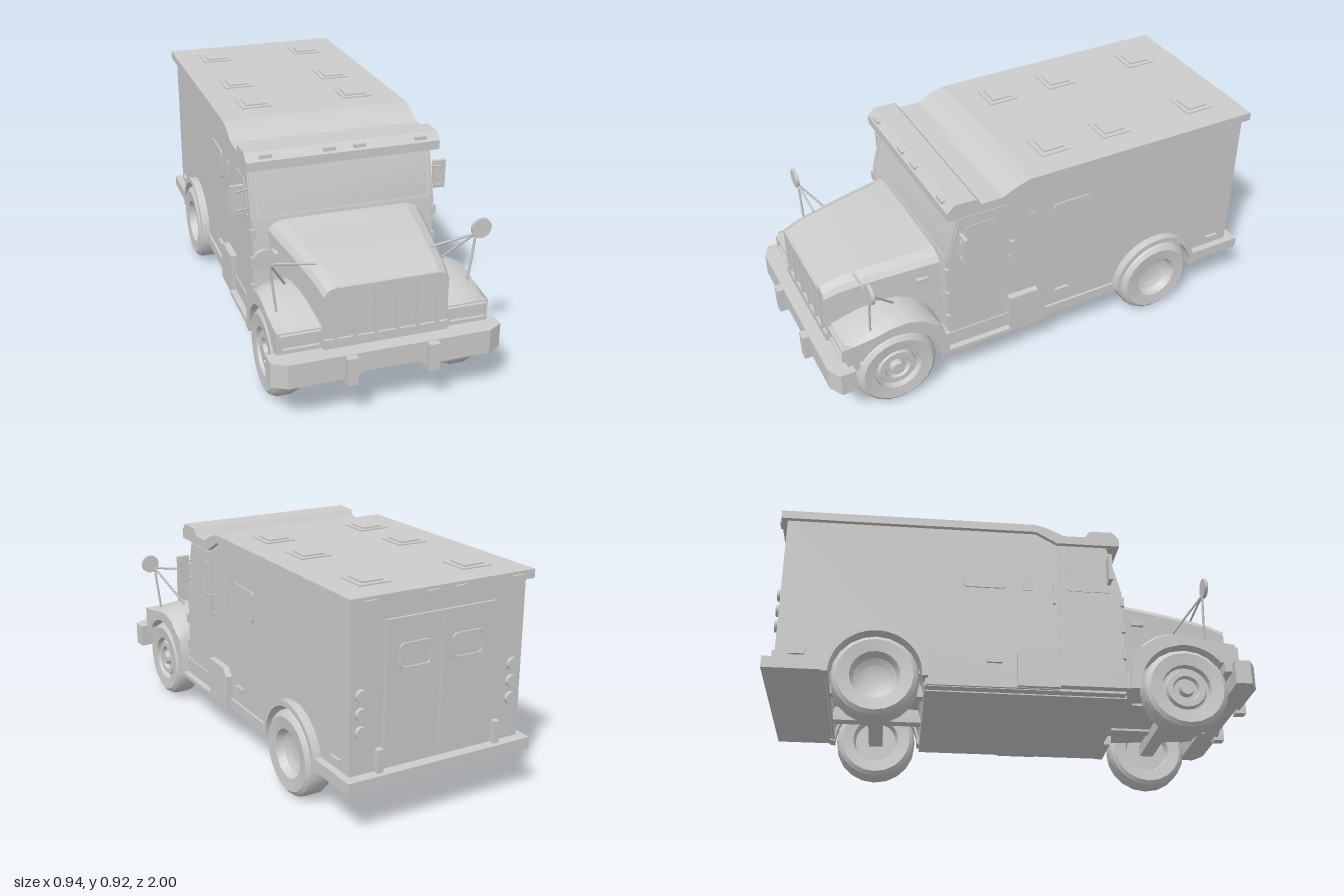
import * as THREE from 'three';
import { toCreasedNormals } from 'three/addons/utils/BufferGeometryUtils.js';

const mat = new THREE.MeshStandardMaterial({ color: 0xcccccc });
const SIDES = [1, -1];

export function createModel() {
  const root = new THREE.Group();

  const add = (name, geo, x = 0, y = 0, z = 0) => {
    const m = new THREE.Mesh(geo, mat);
    m.name = name;
    m.position.set(x, y, z);
    root.add(m);
    return m;
  };
  // box given by its limits on each axis
  const box = (name, x0, x1, y0, y1, z0, z1) =>
    add(name, new THREE.BoxGeometry(Math.abs(x1 - x0), y1 - y0, z1 - z0), (x0 + x1) / 2, (y0 + y1) / 2, (z0 + z1) / 2);
  const poly = (pts) => new THREE.Shape(pts.map((p) => new THREE.Vector2(p[0], p[1])));
  // side outline in (z, y) extruded across x
  const across = (shape, xa, xb, steps = 1) => {
    const g = new THREE.ExtrudeGeometry(shape, { depth: Math.abs(xb - xa), bevelEnabled: false, steps, curveSegments: 16 });
    return g.rotateY(-Math.PI / 2).translate(Math.max(xa, xb), 0, 0);
  };
  const crease = (g, a = 0.5) => toCreasedNormals(g, a);
  const rounded = (x, y, w, h, r) => {
    const s = new THREE.Shape(), a = x - w / 2, b = x + w / 2, c = y - h / 2, d = y + h / 2;
    s.absarc(b - r, d - r, r, 0, Math.PI / 2);
    s.absarc(a + r, d - r, r, Math.PI / 2, Math.PI);
    s.absarc(a + r, c + r, r, Math.PI, Math.PI * 1.5);
    s.absarc(b - r, c + r, r, Math.PI * 1.5, Math.PI * 2);
    return s;
  };
  const framed = (x, y, w, h, r, t) => {
    const s = rounded(x, y, w, h, r);
    s.holes.push(rounded(x, y, w - 2 * t, h - 2 * t, r * 0.8));
    return s;
  };
  const rod = (name, a, b, r = 0.005) => {
    const p = new THREE.Vector3(...a), q = new THREE.Vector3(...b);
    const m = add(name, new THREE.CylinderGeometry(r, r, p.distanceTo(q), 6));
    m.position.copy(p).lerp(q, 0.5);
    m.quaternion.setFromUnitVectors(new THREE.Vector3(0, 1, 0), q.sub(p).normalize());
  };

  // armoured body with rear wheel arch
  const body = poly([[-0.955, 0.19], [-0.955, 0.88], [0.07, 0.88], [0.17, 0.83], [0.38, 0.83], [0.44, 0.605], [0.44, 0.15], [-0.365, 0.15]]);
  body.absarc(-0.56, 0.175, 0.195, 0, Math.PI, false);
  body.lineTo(-0.755, 0.19);
  add('body', crease(across(body, -0.38, 0.38)));

  // roof and sun visor
  add('roof', across(poly([[-0.98, 0.87], [-0.98, 0.905], [0.08, 0.905], [0.13, 0.89], [0.2, 0.857], [0.31, 0.857], [0.31, 0.82], [0.17, 0.82], [0.08, 0.87]]), -0.4, 0.4));
  add('visor', across(poly([[0.29, 0.82], [0.29, 0.857], [0.31, 0.885], [0.405, 0.888], [0.435, 0.857], [0.435, 0.82]]), -0.4, 0.4));
  for (const x of [-0.32, -0.062, 0.062, 0.32]) {
    box('visorLight', x - 0.025, x + 0.025, 0.866, 0.88, 0.4, 0.432);
    box('rearRoofLight', x - 0.025, x + 0.025, 0.88, 0.894, -0.99, -0.975);
  }
  for (const s of SIDES) for (const z of [-0.8, -0.385, -0.1]) {
    box('roofHatchBase', s * 0.158, s * 0.288, 0.9, 0.91, z - 0.065, z + 0.065);
    box('roofHatchLid', s * 0.178, s * 0.268, 0.905, 0.916, z - 0.045, z + 0.045);
  }

  // windshield
  const glass = new THREE.ExtrudeGeometry(framed(0, 0, 0.73, 0.18, 0.008, 0.01), { depth: 0.006, bevelEnabled: false });
  add('windshieldFrame', glass, 0, 0.705, 0.41).rotation.x = -0.26;

  // hood: front section widening and rising towards the cab
  const hoodHalf = [[0.245, 0.2], [0.245, 0.5], [0.232, 0.522], [0.2, 0.537]];
  const hood = new THREE.ExtrudeGeometry(poly([...hoodHalf, ...hoodHalf.slice().reverse().map(([x, y]) => [-x, y])]),
    { depth: 0.465, steps: 8, bevelEnabled: false });
  hood.translate(0, 0, 0.44);
  const hp = hood.attributes.position;
  for (let i = 0; i < hp.count; i++) {
    const k = (0.905 - hp.getZ(i)) / 0.465;
    hp.setX(i, hp.getX(i) * (1 + 0.3 * k));
    if (hp.getY(i) > 0.4) hp.setY(i, hp.getY(i) + 0.07 * Math.pow(Math.max(k, 0), 0.6));
  }
  hood.computeVertexNormals();
  add('hood', crease(hood, 0.35));

  // grille
  box('grilleTop', -0.2, 0.2, 0.525, 0.538, 0.9, 0.915);
  box('grilleBottom', -0.245, 0.245, 0.29, 0.327, 0.88, 0.915);
  for (const x of [-0.202, -0.123, -0.042, 0.042, 0.123, 0.202])
    box('grilleBar', x - 0.007, x + 0.007, 0.32, 0.535, 0.9, 0.915);

  // front fenders, crowned towards the outside
  for (const s of SIDES) {
    const f = poly([[0.86, 0.29], [0.89, 0.29], [0.89, 0.372], [0.84, 0.395], [0.77, 0.422], [0.7, 0.438], [0.63, 0.442], [0.57, 0.425], [0.52, 0.39], [0.48, 0.33], [0.46, 0.25], [0.45, 0.16], [0.49, 0.16]]);
    f.absarc(0.68, 0.175, 0.185, Math.PI, 0.67, true);
    const g = across(f, s * 0.22, s * 0.42, 5), p = g.attributes.position;
    for (let i = 0; i < p.count; i++) {
      const y = p.getY(i), z = p.getZ(i), t = (Math.abs(p.getX(i)) - 0.22) / 0.2;
      if (y > 0.375 && Math.hypot(z - 0.68, y - 0.175) > 0.2) p.setY(i, y - 0.035 * t ** 4);
    }
    g.computeVertexNormals();
    add('frontFender', crease(g, 0.6));
    // headlights
    const lamp = new THREE.ExtrudeGeometry(framed(s * 0.33, 0.335, 0.16, 0.064, 0.004, 0.008), { depth: 0.02, bevelEnabled: false });
    add('headlightFrame', lamp, 0, 0, 0.885);
    box('headlight', s * 0.26, s * 0.4, 0.31, 0.36, 0.88, 0.893);
    box('hoodSideLight', s * 0.29, s * 0.322, 0.49, 0.512, 0.49, 0.54);
    // round fender mirrors
    add('roundMirror', new THREE.CylinderGeometry(0.041, 0.041, 0.014, 14).rotateX(Math.PI / 2), s * 0.43, 0.622, 0.778);
    rod('mirrorArm', [s * 0.41, 0.6, 0.775], [s * 0.23, 0.57, 0.77]);
    rod('mirrorArm', [s * 0.41, 0.6, 0.775], [s * 0.385, 0.39, 0.775]);
    rod('mirrorArm', [s * 0.41, 0.6, 0.775], [s * 0.31, 0.43, 0.64]);
    // door mirrors
    box('doorMirror', s * 0.4, s * 0.453, 0.63, 0.75, 0.375, 0.39);
    for (const y of [0.645, 0.727]) rod('doorMirrorArm', [s * 0.435, y, 0.395], [s * 0.37, y, 0.375]);
  }

  // front bumper: chamfered corners and raised centre underneath
  const bump = (x0, x1, y0) => {
    const g = new THREE.BoxGeometry(x1 - x0, 0.285 - y0, 0.095);
    return add('frontBumper', g, (x0 + x1) / 2, (0.285 + y0) / 2, 0.92);
  };
  bump(-0.4, -0.14, 0.185);
  bump(0.14, 0.4, 0.185);
  bump(-0.14, 0.14, 0.205);
  for (const s of SIDES) {
    const end = poly([[s * 0.4, -0.967], [s * 0.457, -0.935], [s * 0.457, -0.87], [s * 0.4, -0.872]]);
    add('bumperEnd', new THREE.ExtrudeGeometry(end, { depth: 0.1, bevelEnabled: false }).rotateX(-Math.PI / 2), 0, 0.185, 0);
    const wedge = poly([[s * 0.14, 0.206], [s * 0.14, 0.185], [s * 0.105, 0.206]]);
    add('bumperWedge', new THREE.ExtrudeGeometry(wedge, { depth: 0.095, bevelEnabled: false }), 0, 0, 0.8725);
    box('towBracket', s * 0.14, s * 0.183, 0.17, 0.283, 0.95, 0.995);
  }
  box('valance', -0.42, 0.42, 0.25, 0.295, 0.84, 0.89);

  // side details
  for (const s of SIDES) {
    const side = (name, shape, x) => add(name, across(shape, s * 0.37, s * x));
    side('door', poly([[0.175, 0.245], [0.435, 0.245], [0.435, 0.61], [0.377, 0.805], [0.175, 0.805]]), 0.385);
    side('doorWindow', poly([[0.22, 0.6], [0.385, 0.6], [0.39, 0.62], [0.355, 0.745], [0.34, 0.76], [0.22, 0.76], [0.21, 0.75], [0.21, 0.61]]), 0.388);
    side('sideWindow', rounded(-0.13, 0.665, 0.18, 0.13, 0.02), 0.386);
    side('gunSlot', rounded(0.045, 0.66, 0.045, 0.13, 0.015), 0.383);
    box('doorHandle', s * 0.395, s * 0.405, 0.53, 0.63, 0.15, 0.16);
    for (const y of [0.535, 0.615]) box('handleMount', s * 0.375, s * 0.4, y, y + 0.01, 0.15, 0.16);
    for (const y of [0.3, 0.42, 0.54]) box('doorHinge', s * 0.37, s * 0.392, y, y + 0.04, 0.43, 0.446);
    side('storageBox', poly([[0, 0.155], [0.17, 0.155], [0.17, 0.335], [0.035, 0.335], [0, 0.3]]), 0.408);
    box('runningBoard', s * 0.3, s * 0.415, 0.16, 0.178, 0.17, 0.49);
    box('runningBoardBack', s * 0.3, s * 0.39, 0.16, 0.245, 0.17, 0.46);
    box('skirt', s * 0.3, s * 0.39, 0.153, 0.2, -0.36, 0.17);
    for (const z of [-0.09, -0.87]) box('sideMarker', s * 0.37, s * 0.392, 0.26, 0.282, z - 0.03, z + 0.03);
    // rear wheel arch lip
    const lip = new THREE.Shape();
    lip.absarc(-0.56, 0.18, 0.207, 0, Math.PI, false);
    lip.absarc(-0.56, 0.18, 0.184, Math.PI, 0, true);
    add('wheelArch', crease(across(lip, s * 0.35, s * 0.415)));
  }

  // rear doors, lights and bumper
  for (const s of SIDES) {
    box('rearDoor', s * 0.003, s * 0.24, 0.25, 0.805, -0.965, -0.95);
    const win = new THREE.ExtrudeGeometry(framed(s * 0.115, 0.66, 0.14, 0.1, 0.02, 0.009), { depth: 0.012, bevelEnabled: false });
    add('rearWindow', win, 0, 0, -0.972);
    for (const y of [0.4, 0.47, 0.54])
      add('rearLight', new THREE.CylinderGeometry(0.025, 0.025, 0.02, 12).rotateX(Math.PI / 2), s * 0.335, y, -0.96);
    box('rearPost', s * 0.25, s * 0.275, 0.23, 0.325, -0.98, -0.95);
  }
  box('rearBumper', -0.41, 0.41, 0.187, 0.235, -1, -0.745);

  // chassis
  box('floor', -0.34, 0.34, 0.145, 0.16, -0.36, 0.45);
  box('rearWell', -0.27, 0.27, 0.25, 0.39, -0.76, -0.36);
  for (const s of SIDES) box('frameRail', s * 0.12, s * 0.17, 0.19, 0.26, -0.8, 0.9);
  for (const z of [-0.56, 0.68]) box('axle', -0.33, 0.33, 0.15, 0.2, z - 0.03, z + 0.03);

  // wheels
  const tyre = [[0, -0.02], [0.09, -0.02], [0.1, -0.055], [0.15, -0.06], [0.166, -0.048], [0.174, -0.03], [0.174, 0.03], [0.166, 0.048], [0.15, 0.06], [0.1, 0.054]];
  const hubs = {
    front: [[0.095, 0.03], [0.085, 0.03], [0.078, 0.046], [0.055, 0.046], [0.048, 0.03], [0.032, 0.03], [0.028, 0.056], [0, 0.056]],
    rear: [[0.09, 0.03], [0.085, 0.022], [0.06, 0.008], [0, 0.004]],
  };
  for (const s of SIDES) for (const [end, z] of [['front', 0.68], ['rear', -0.56]]) {
    const pts = [...tyre, ...hubs[end]].map((p) => new THREE.Vector2(p[0], p[1]));
    const g = new THREE.LatheGeometry(pts, 20).rotateZ(-s * Math.PI / 2);
    add(end + 'Wheel', crease(g, 0.45), s * 0.36, 0.174, z);
  }
  return root;
}
